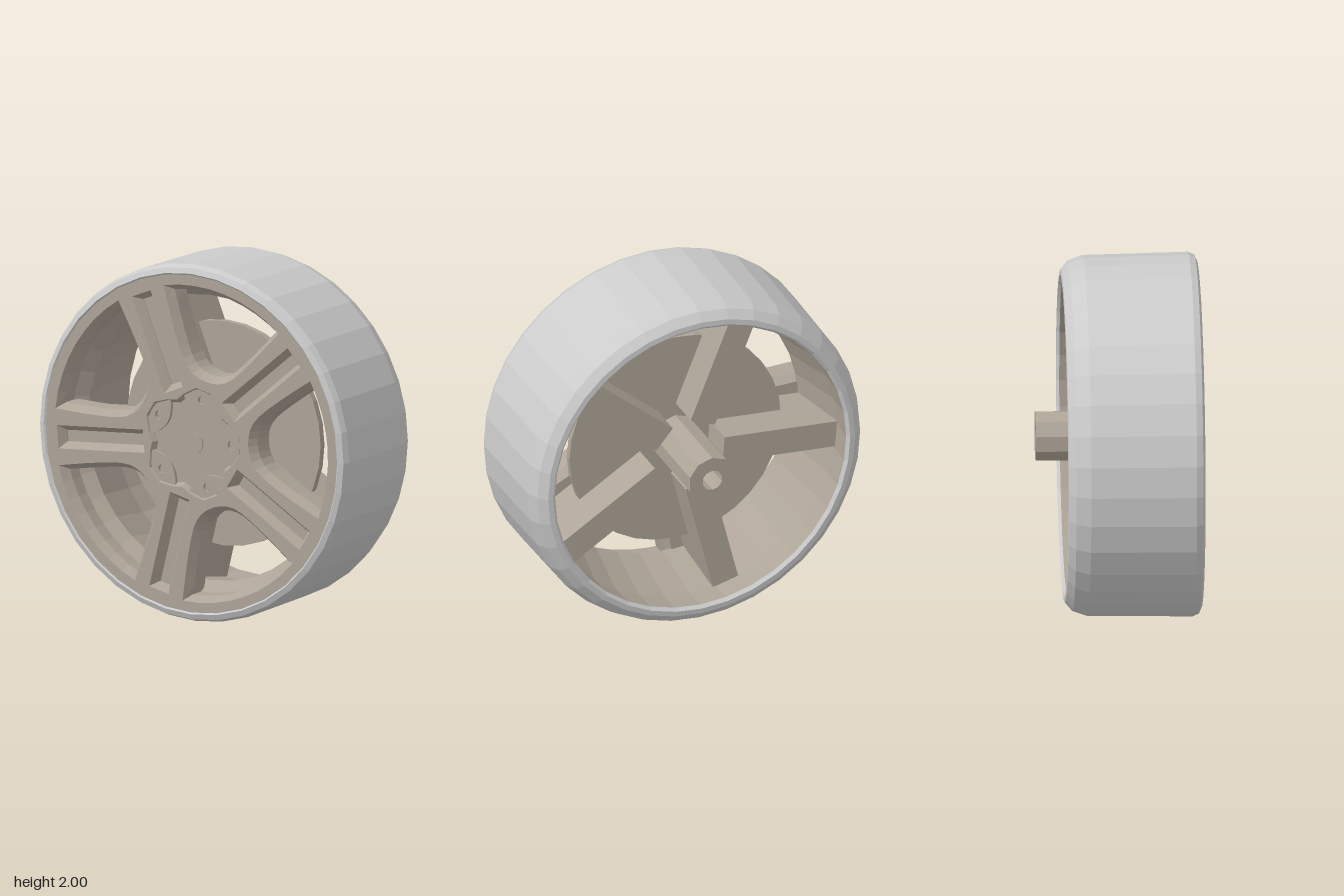
import * as THREE from 'three';

const tyreMat = new THREE.MeshStandardMaterial({ color: 0xcccccc, flatShading: true });
const rimMat = new THREE.MeshStandardMaterial({ color: 0xaea498, flatShading: true });
const STEP = (Math.PI * 2) / 5;
const SPOKE0 = THREE.MathUtils.degToRad(40);

function add(parent, name, geometry, material = rimMat) {
  const mesh = new THREE.Mesh(geometry, material);
  mesh.name = name;
  parent.add(mesh);
  return mesh;
}

// Profile of [radius, z] pairs turned around the z axis
function turned(profile, segments) {
  const g = new THREE.LatheGeometry(profile.map(([r, z]) => new THREE.Vector2(r, z)), segments);
  return g.rotateX(Math.PI / 2);
}

function disc(radius, z0, z1, segments) {
  return turned([[0, z0], [radius, z0], [radius, z1], [0, z1]], segments);
}

// Closed path from points in a radial frame (u outward, v sideways) turned by an angle
function radialPath(points, angle) {
  const c = new THREE.Vector2();
  return new THREE.Path(points.map(([u, v]) => new THREE.Vector2(u, v).rotateAround(c, angle)));
}

// Outline of one window: rounded toward the hub, an arc along the rim
function windowOutline() {
  const side = new THREE.SplineCurve([[0.8, -0.385], [0.56, -0.245], [0.41, -0.13], [0.37, 0],
    [0.41, 0.13], [0.56, 0.245], [0.8, 0.385]].map(([x, y]) => new THREE.Vector2(x, y)));
  const points = side.getPoints(18).map(p => [p.x, p.y]);
  const end = Math.atan2(0.385, 0.8);
  for (let i = 1; i < 8; i++) {
    const a = end - (2 * end * i) / 8;
    points.push([0.888 * Math.cos(a), 0.888 * Math.sin(a)]);
  }
  return points;
}

// Front face with windows, spoke grooves and a lobed centre opening
function faceGeometry() {
  const shape = new THREE.Shape();
  shape.absarc(0, 0, 0.948, 0, Math.PI * 2);
  const outline = windowOutline();
  const lobes = [];
  for (let i = 0; i < 5; i++) {
    const a = SPOKE0 + i * STEP, b = a + STEP / 2;
    shape.holes.push(radialPath(outline, b));
    shape.holes.push(radialPath([[0.31, -0.065], [0.87, -0.065], [0.87, 0.065], [0.31, 0.065]], a));
    for (const [r, offset] of [[0.255, -STEP / 2], [0.28, -0.42], [0.318, -0.15], [0.318, 0.15], [0.28, 0.42]]) {
      lobes.push(new THREE.Vector2(r * Math.cos(b + offset), r * Math.sin(b + offset)));
    }
  }
  shape.holes.push(new THREE.Path(lobes));
  return new THREE.ExtrudeGeometry(shape, {
    depth: 0.11, bevelThickness: 0.05, bevelSize: 0.033, bevelSegments: 1, curveSegments: 36,
  }).translate(0, 0, 0.28);
}

// Leaf-shaped lug with a bolt hole
function lugGeometry() {
  const leaf = new THREE.Shape();
  leaf.moveTo(0.25, -0.13);
  leaf.quadraticCurveTo(0.37, 0, 0.25, 0.13);
  leaf.quadraticCurveTo(0.19, 0.06, 0.19, 0);
  leaf.quadraticCurveTo(0.19, -0.06, 0.25, -0.13);
  const hole = new THREE.Path();
  hole.absarc(0.255, 0, 0.025, 0, Math.PI * 2, true);
  leaf.holes.push(hole);
  return new THREE.ExtrudeGeometry(leaf, { depth: 0.06, bevelEnabled: false, curveSegments: 6 })
    .translate(0, 0, 0.37);
}

export function createModel() {
  const model = new THREE.Group();
  model.name = 'wheel';
  const wheel = new THREE.Group();
  wheel.name = 'wheelBody';
  wheel.position.y = 1;
  model.add(wheel);

  // Tyre shell, open on the inside where the rim barrel lines it
  add(wheel, 'tyre', turned([[0.868, -0.285], [0.885, -0.303], [0.915, -0.3], [0.962, -0.26], [0.99, -0.18],
    [1, 0.4], [0.985, 0.435], [0.955, 0.448], [0.943, 0.437]], 36), tyreMat);

  // Rim barrel, narrowing toward the face
  add(wheel, 'rimBarrel', turned([[0.9, 0.4], [0.87, 0.32], [0.8, 0.24], [0.82, 0.15], [0.875, -0.12],
    [0.868, -0.285]], 36));

  add(wheel, 'spokedFace', faceGeometry());

  // Centre plate, cap and inner disc
  add(wheel, 'centrePlate', disc(0.32, 0.3, 0.41, 20));
  add(wheel, 'centreCap', disc(0.06, 0.4, 0.418, 12));
  add(wheel, 'innerDisc', disc(0.63, 0.07, 0.11, 32));

  // Axle hub with a bore
  add(wheel, 'axleHub', turned([[0.06, -0.45], [0.14, -0.45], [0.14, 0.31], [0.06, 0.31], [0.06, -0.45]], 10));

  // Repeated parts: rear ribs, groove floors and lugs
  const rib = new THREE.BoxGeometry(0.7, 0.155, 0.41).translate(0.55, 0, 0.065);
  const floor = new THREE.BoxGeometry(0.62, 0.13, 0.1).translate(0.585, 0, 0.335);
  const lug = lugGeometry();
  for (let i = 0; i < 5; i++) {
    const a = SPOKE0 + i * STEP;
    add(wheel, 'rearRib', rib).rotation.z = a;
    add(wheel, 'grooveFloor', floor).rotation.z = a;
    add(wheel, 'lug', lug).rotation.z = a + STEP / 2;
  }
  return model;
}
